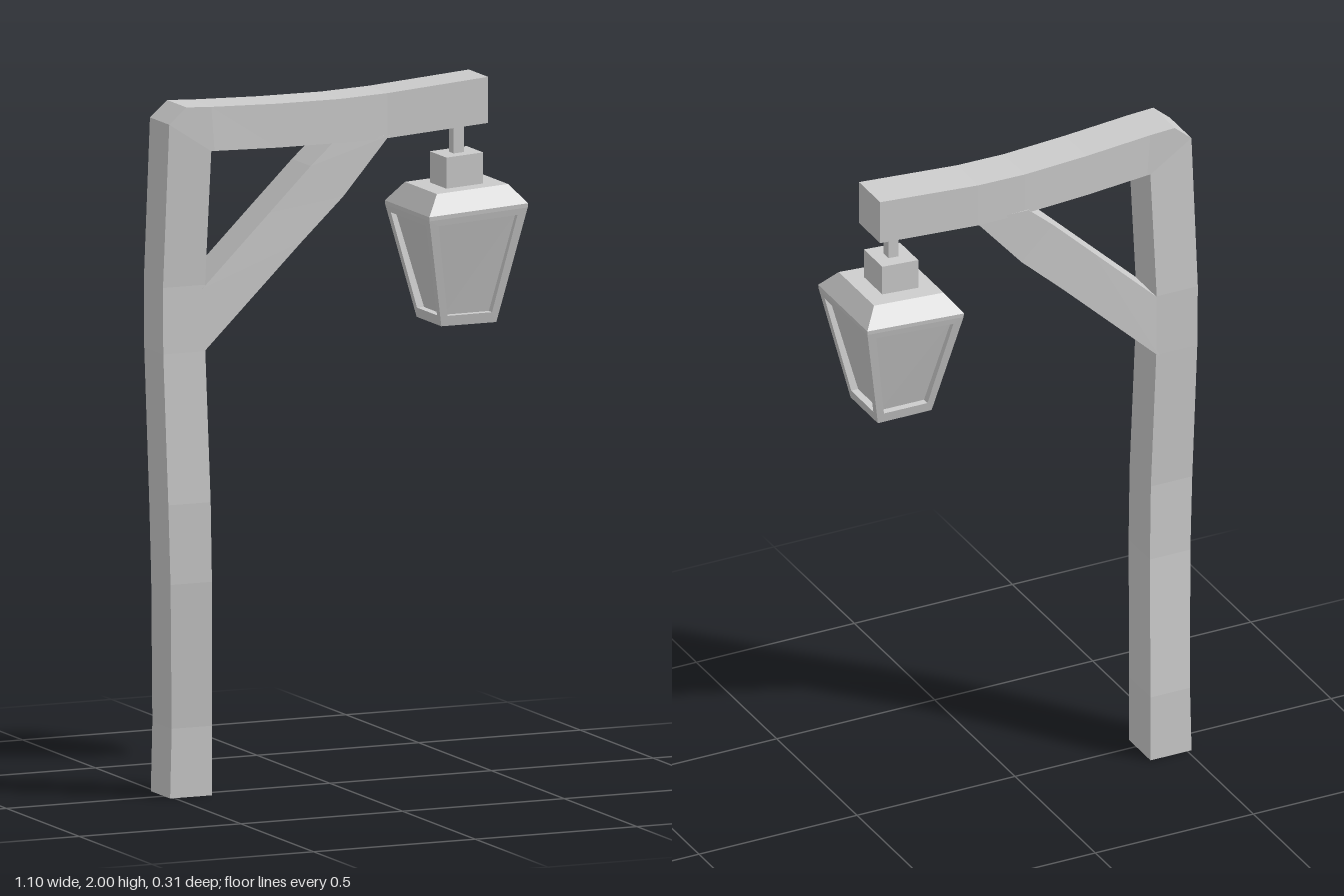
import * as THREE from 'three';

const grey = new THREE.MeshStandardMaterial({ color: 0xcccccc });
grey.name = 'grey';

// Flat-shaded mesh from a list of quads, each four [x, y, z] corners
function quadMesh(name, quads) {
  const pos = [];
  for (const [a, b, c, d] of quads) pos.push(...a, ...b, ...c, ...a, ...c, ...d);
  const geo = new THREE.BufferGeometry();
  geo.setAttribute('position', new THREE.Float32BufferAttribute(pos, 3));
  geo.computeVertexNormals();
  const mesh = new THREE.Mesh(geo, grey);
  mesh.name = name;
  return mesh;
}

// Skin a run of four-cornered rings and close both ends
function loft(rings) {
  const quads = [[...rings[0]].reverse(), rings[rings.length - 1]];
  for (let r = 0; r < rings.length - 1; r++) {
    for (let i = 0; i < 4; i++) {
      const j = (i + 1) % 4;
      quads.push([rings[r][i], rings[r][j], rings[r + 1][j], rings[r + 1][i]]);
    }
  }
  return quads;
}

// Timber section: outer edge (x, y), inner edge (x, y), back z, front z
const section = ([ox, oy, ix, iy, zb, zf]) =>
  [[ox, oy, zf], [ix, iy, zf], [ix, iy, zb], [ox, oy, zb]];
const timber = (name, rows) => quadMesh(name, loft(rows.map(section)));

// Lantern leans a little: height grows with x above its base
const LX = 0.392, BASE = 1.3;
const lean = ([x, y, z]) =>
  [LX + x, y + 0.06 * x * Math.min(1, (y - BASE) / 0.3), z];
const square = ([w, y]) =>
  [[-w, y, w], [w, y, w], [w, y, -w], [-w, y, -w]].map(lean);
const tier = (name, rows) => quadMesh(name, loft(rows.map(square)));

// Quarter turns about the lantern axis
const turn = (k) => ([x, y, z]) => {
  for (let i = 0; i < k; i++) [x, z] = [z, -x];
  return [x, y, z];
};

function lanternBody() {
  const group = new THREE.Group();
  group.name = 'lanternBody';
  const yTop = 1.625, wBottom = 0.085, wTop = 0.152;
  const depth = (y) => wBottom + (wTop - wBottom) * (y - BASE) / (yTop - BASE);
  const rect = (w0, y0, w1, y1, in0, in1) => [
    [-w0, y0, depth(y0) - in0], [w0, y0, depth(y0) - in0],
    [w1, y1, depth(y1) - in1], [-w1, y1, depth(y1) - in1],
  ];
  const frame = [[...square([wBottom, BASE])].reverse()];
  const panes = [];
  for (let k = 0; k < 4; k++) {
    const place = (p) => lean(turn(k)(p));
    const outer = rect(wBottom, BASE, wTop, yTop, 0, 0).map(place);
    const inner = rect(0.069, 1.33, 0.122, 1.607, 0, 0).map(place);
    const deep = rect(0.069, 1.33, 0.122, 1.607, 0.022, 0.015).map(place);
    // Frame bars and the reveals leading in to the pane
    for (let i = 0; i < 4; i++) {
      const j = (i + 1) % 4;
      frame.push([outer[i], outer[j], inner[j], inner[i]]);
      frame.push([inner[i], inner[j], deep[j], deep[i]]);
    }
    panes.push(deep);
  }
  group.add(quadMesh('lanternFrame', frame), quadMesh('lanternPanes', panes));
  return group;
}

export function createModel() {
  const model = new THREE.Group();
  model.name = 'streetLantern';

  // Bent post with a chamfered top corner
  model.add(timber('post', [
    [-0.513, 0, -0.383, 0, -0.09, 0.043],
    [-0.51, 0.2, -0.385, 0.2, -0.086, 0.047],
    [-0.532, 0.62, -0.404, 0.62, -0.045, 0.088],
    [-0.542, 0.85, -0.411, 0.85, -0.037, 0.095],
    [-0.55, 1.28, -0.42, 1.28, -0.053, 0.078],
    [-0.55, 1.47, -0.42, 1.47, -0.056, 0.076],
    [-0.54, 1.94, -0.41, 1.855, -0.036, 0.097],
    [-0.487, 1.986, -0.41, 1.855, -0.036, 0.097],
  ]));

  // Sagging beam
  model.add(timber('beam', [
    [-0.487, 1.986, -0.41, 1.855, -0.036, 0.097],
    [-0.41, 1.982, -0.4, 1.855, -0.036, 0.097],
    [-0.2, 1.974, -0.2, 1.848, -0.05, 0.084],
    [0, 1.971, 0, 1.845, -0.062, 0.071],
    [0.15, 1.976, 0.15, 1.847, -0.067, 0.065],
    [0.461, 2, 0.461, 1.868, -0.068, 0.064],
  ]));

  // Diagonal brace
  model.add(timber('brace', [
    [-0.43, 1.458, -0.43, 1.272, -0.053, 0.077],
    [-0.22, 1.66, -0.12, 1.57, -0.058, 0.072],
    [-0.09, 1.785, 0.01, 1.69, -0.06, 0.069],
    [-0.01, 1.855, 0.155, 1.855, -0.064, 0.066],
  ]));

  // Hanging lantern
  const lantern = new THREE.Group();
  lantern.name = 'lantern';
  lantern.add(
    lanternBody(),
    tier('lanternRoof', [[0.152, 1.625], [0.153, 1.637], [0.11, 1.691]]),
    tier('lanternNeck', [[0.057, 1.685], [0.057, 1.78]]),
    tier('hangingRod', [[0.016, 1.775], [0.016, 1.88]]),
  );
  model.add(lantern);
  return model;
}
